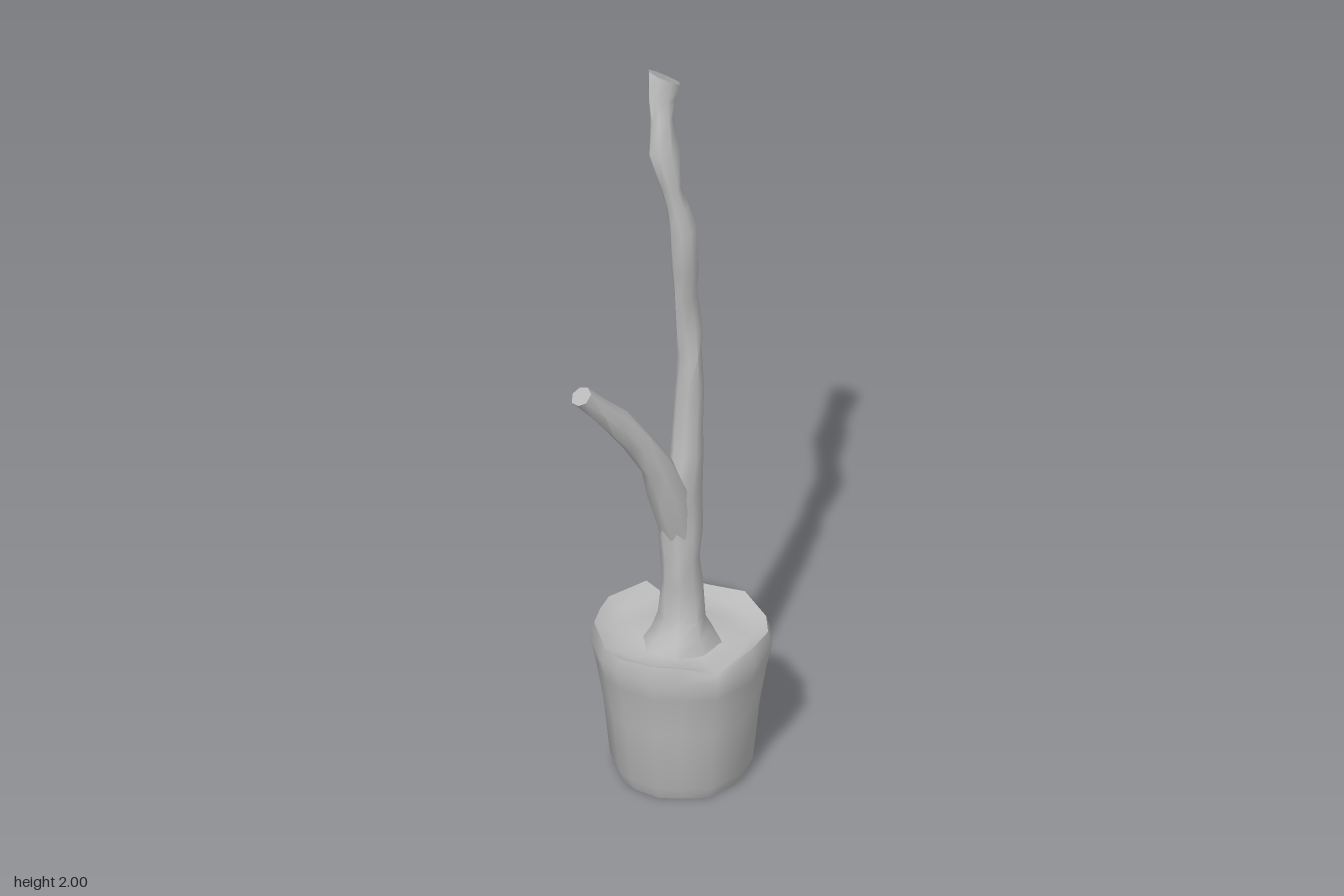
import * as THREE from 'three';
import { toCreasedNormals } from 'three/addons/utils/BufferGeometryUtils.js';

// Skin closed rings of points (ordered from base to tip) and cap both ends.
function loft(rings) {
  const n = rings[0].length, pos = [], idx = [];
  rings.forEach(r => r.forEach(p => pos.push(p.x, p.y, p.z)));
  const addCentre = r => {
    const c = r.reduce((s, p) => s.add(p), new THREE.Vector3()).divideScalar(n);
    pos.push(c.x, c.y, c.z);
    return pos.length / 3 - 1;
  };
  const first = addCentre(rings[0]), last = addCentre(rings.at(-1));
  const top = (rings.length - 1) * n;
  for (let j = 0; j < n; j++) {
    const k = (j + 1) % n;
    for (let i = 0; i < rings.length - 1; i++) {
      const a = i * n + j, b = i * n + k;
      idx.push(a, a + n, b, b, a + n, b + n);
    }
    idx.push(first, j, k, last, top + k, top + j);
  }
  const g = new THREE.BufferGeometry();
  g.setAttribute('position', new THREE.Float32BufferAttribute(pos, 3));
  g.setIndex(idx);
  return toCreasedNormals(g, 1.0);
}

const circle = (n, fn) => Array.from({ length: n }, (_, j) => {
  const a = j / n * Math.PI * 2;
  return fn(Math.cos(a), Math.sin(a), j);
});

export function createModel() {
  const group = new THREE.Group();
  const grey = new THREE.MeshStandardMaterial({ color: 0xbbbbbb });
  const add = (name, geometry) => {
    const mesh = new THREE.Mesh(geometry, grey);
    mesh.name = name;
    group.add(mesh);
  };

  // Pot: an uneven rim outline [x, z, rim height] scaled into each level
  const outline = [
    [-0.01, -0.21, 0.41], [0.11, -0.21, 0.41], [0.165, -0.185, 0.37], [0.205, -0.17, 0.4],
    [0.24, -0.13, 0.39], [0.277, -0.02, 0.41], [0.26, 0.09, 0.4], [0.22, 0.15, 0.4],
    [0.13, 0.2, 0.41], [0.01, 0.21, 0.385], [-0.06, 0.16, 0.405], [-0.12, 0.11, 0.41],
    [-0.152, 0.02, 0.4], [-0.152, -0.04, 0.4], [-0.11, -0.14, 0.41], [-0.06, -0.18, 0.41]
  ];
  const notch = 2, cx = 0.065;
  // [height (null follows the rim), scale, is near the rim]
  const levels = [
    [0, 0.72, 0], [0.035, 0.785, 0], [0.2, 0.86, 0], [0.31, 0.945, 0], [0.365, 1, 1],
    [null, 0.955, 1], [0.385, 0.78, 0], [0.385, 0.5, 0], [0.4, 0.28, 0]
  ];
  add('pot', loft(levels.map(([y, s, rim]) => outline.map(([x, z, h], j) => {
    const k = s * (rim && j === notch ? 0.82 : 1);
    return new THREE.Vector3(cx + (x - cx) * k, y ?? h, z * k);
  }))));

  // Trunk: [height, x min, x max, z min, z max, slope of the ring]
  const trunk = [
    [0.38, -0.06, 0.14, -0.07, 0.12], [0.42, -0.035, 0.115, -0.05, 0.1],
    [0.46, -0.01, 0.1, -0.035, 0.08], [0.56, -0.008, 0.093, -0.025, 0.074],
    [0.63, -0.008, 0.09, -0.03, 0.07], [0.71, -0.01, 0.1, -0.035, 0.066],
    [0.81, -0.01, 0.1, -0.03, 0.066], [0.92, 0.015, 0.104, -0.012, 0.06],
    [1.0, 0.028, 0.1, -0.02, 0.055], [1.1, 0.035, 0.108, -0.02, 0.054],
    [1.2, 0.042, 0.1, -0.015, 0.05], [1.27, 0.035, 0.104, -0.012, 0.046],
    [1.36, 0.026, 0.094, 0, 0.038], [1.45, 0.016, 0.086, 0, 0.054],
    [1.58, 0.004, 0.074, 0.002, 0.066], [1.64, 0, 0.062, 0, 0.05],
    [1.7, -0.01, 0.038, -0.012, 0.046], [1.8, -0.035, 0.05, -0.035, 0.032],
    [1.88, -0.016, 0.048, -0.046, 0.006], [1.92, -0.012, 0.062, -0.055, -0.008, -0.015],
    [1.967, 0, 0.09, -0.082, -0.018, -0.033]
  ];
  add('trunk', loft(trunk.map(([y, x0, x1, z0, z1, slope = 0], i) =>
    circle(8, (c, s, j) => {
      const w = 1 + 0.05 * Math.sin(i * 2.3 + j * 1.9);
      return new THREE.Vector3(
        (x0 + x1) / 2 + (x1 - x0) / 2 * c * w, y + slope * c,
        (z0 + z1) / 2 + (z1 - z0) / 2 * s * w);
    }))));

  // Pointed knot on the back of the trunk: [height, x, z, half width, half depth]
  const knot = [
    [0.62, 0.055, -0.01, 0.02, 0.012], [0.705, 0.062, -0.03, 0.026, 0.045],
    [0.81, 0.055, -0.012, 0.02, 0.016]
  ];
  add('knot', loft(knot.map(([y, x, z, w, d]) =>
    circle(6, (c, s) => new THREE.Vector3(x + w * c, y, z + d * s)))));

  // Side branch: [x, y, z, radius], rings square to its path
  const branch = [
    [0.035, 0.7, 0.02, 0.042], [0.002, 0.83, 0.022, 0.05], [-0.035, 0.92, 0.024, 0.042],
    [-0.095, 1.015, 0.022, 0.036], [-0.15, 1.085, 0.022, 0.034],
    [-0.205, 1.145, 0.02, 0.031], [-0.26, 1.205, 0.02, 0.027]
  ];
  add('branch', loft(branch.map(([x, y, z, r], i) => {
    const a = branch[Math.max(i - 1, 0)], b = branch[Math.min(i + 1, branch.length - 1)];
    const t = new THREE.Vector2(b[0] - a[0], b[1] - a[1]).normalize();
    return circle(7, (c, s, j) => {
      const w = r * (1 + 0.07 * Math.sin(i * 2.1 + j * 1.7));
      return new THREE.Vector3(x + t.y * c * w, y - t.x * c * w, z + s * w);
    });
  })));

  return group;
}
